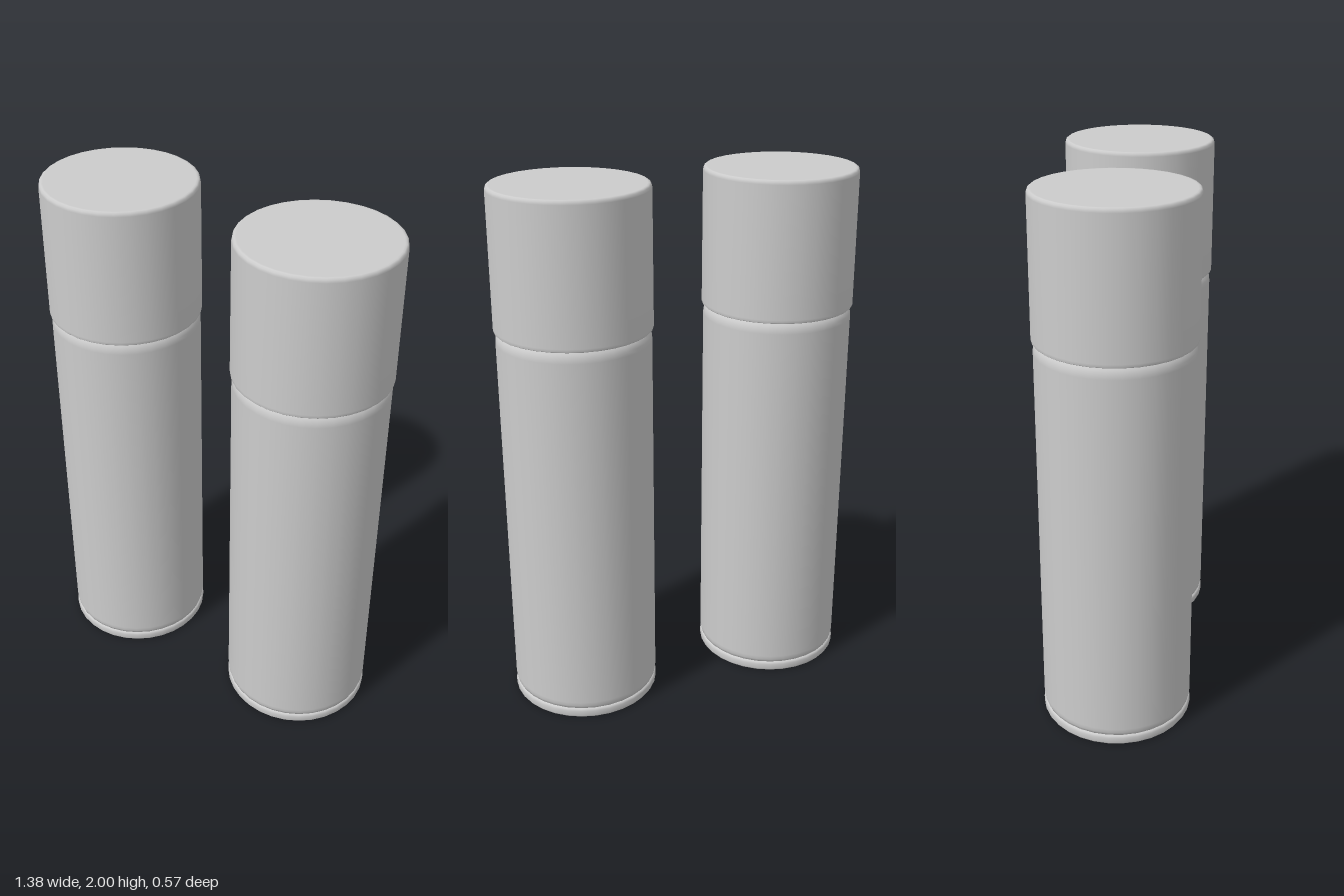
import * as THREE from 'three';

const SEGMENTS = 32;

// Turned part from a bottom-to-top list of [radius, height] points
function turned(name, points, material) {
  const profile = points.map(([r, y]) => new THREE.Vector2(r, y));
  const mesh = new THREE.Mesh(new THREE.LatheGeometry(profile, SEGMENTS), material);
  mesh.name = name;
  return mesh;
}

function createCan(name, material) {
  const can = new THREE.Group();
  can.name = name;

  // Concave underside and rolled rim
  can.add(turned('baseRim', [
    [0, 0.07], [0.1, 0.06], [0.19, 0.038], [0.262, 0.004], [0.268, 0],
    [0.277, 0], [0.281, 0.006], [0.281, 0.026], [0.277, 0.034], [0.27, 0.036],
  ], material));

  // Straight wall with rounded shoulders at both ends
  can.add(turned('body', [
    [0.268, 0.034], [0.275, 0.038], [0.279, 0.05], [0.28, 0.065],
    [0.28, 1.445], [0.279, 1.46], [0.274, 1.475], [0.264, 1.488], [0.25, 1.494],
  ], material));

  // Cap with a thin lower lip and softened top edge
  can.add(turned('cap', [
    [0.25, 1.487], [0.283, 1.487], [0.286, 1.49], [0.286, 1.5],
    [0.285, 1.985], [0.283, 1.995], [0.277, 2], [0.27, 2], [0, 2],
  ], material));

  return can;
}

export function createModel() {
  const model = new THREE.Group();
  model.name = 'sprayCans';
  const grey = new THREE.MeshStandardMaterial({ color: 0xcccccc });
  grey.name = 'light grey';

  // Matching pair side by side
  for (const [name, x] of [['leftCan', 0.405], ['rightCan', -0.405]]) {
    const can = createCan(name, grey);
    can.position.x = x;
    model.add(can);
  }
  return model;
}
